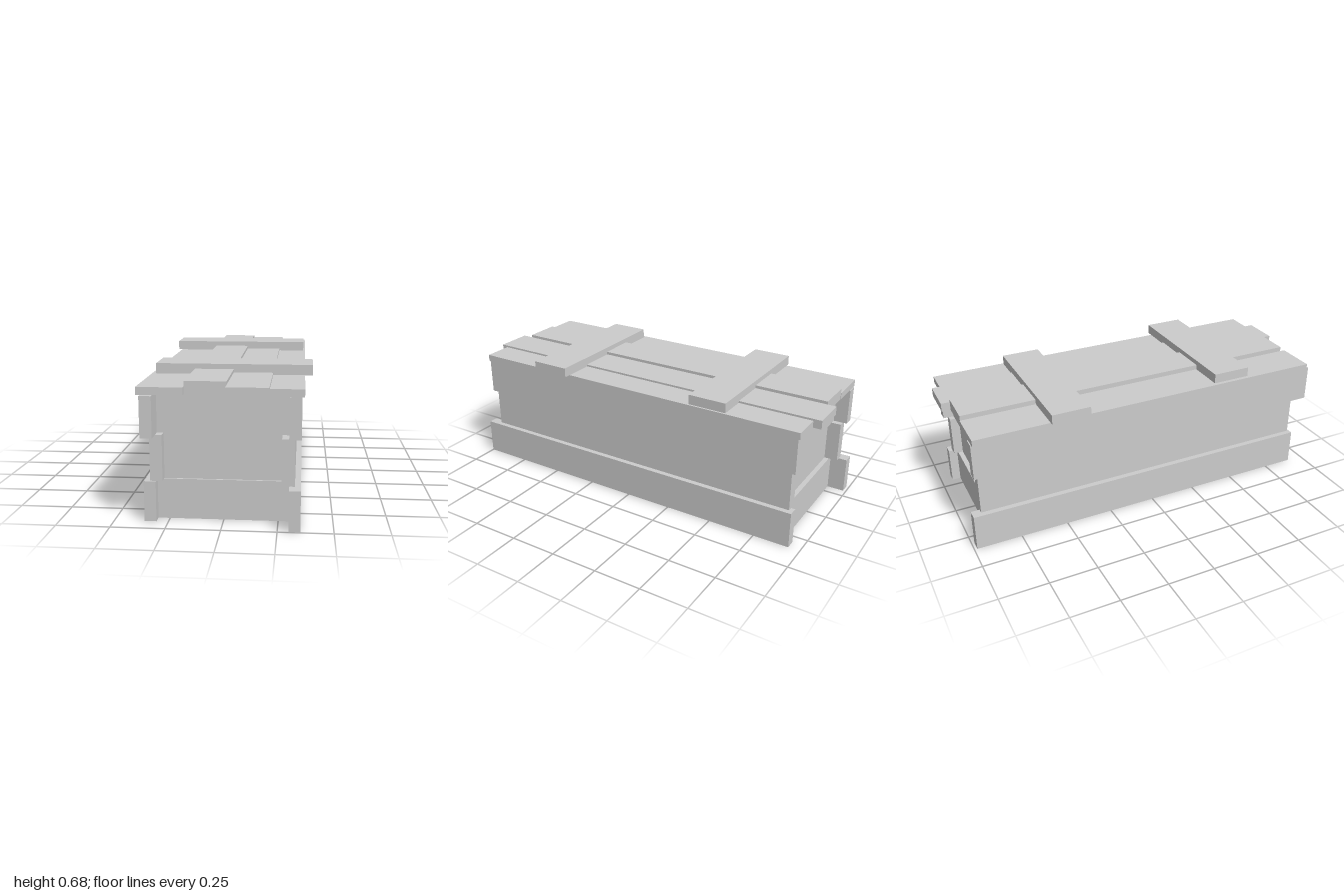
import * as THREE from 'three';

const material = new THREE.MeshStandardMaterial({ color: 0xcccccc, flatShading: true });

export function createModel() {
  const crate = new THREE.Group();
  crate.name = 'woodenCrate';

  // A plank given by its extents along each axis
  const plank = (name, [x0, x1], [y0, y1], [z0, z1]) => {
    const mesh = new THREE.Mesh(new THREE.BoxGeometry(x1 - x0, y1 - y0, z1 - z0), material);
    mesh.position.set((x0 + x1) / 2, (y0 + y1) / 2, (z0 + z1) / 2);
    mesh.name = name;
    crate.add(mesh);
  };

  // Three courses of boards: long sides overhang the recessed end panels
  const courses = [
    { name: 'lower', y: [0, 0.19], right: [-0.36, -0.305], left: [0.3, 0.352],
      rightZ: [-0.985, 0.91], leftZ: [-0.94, 1.0], back: -0.895, front: 0.86 },
    { name: 'middle', y: [0.19, 0.405], right: [-0.332, -0.275], left: [0.266, 0.325],
      rightZ: [-0.94, 0.9], leftZ: [-0.918, 0.935], back: -0.87, front: 0.85 },
    { name: 'upper', y: [0.405, 0.595], right: [-0.36, -0.305], left: [0.297, 0.352],
      rightZ: [-0.962, 0.972], leftZ: [-0.945, 0.945], back: -0.89, front: 0.857 },
  ];
  for (const c of courses) {
    const inner = [c.right[1], c.left[0]];
    plank(c.name + 'RightBoard', c.right, c.y, c.rightZ);
    plank(c.name + 'LeftBoard', c.left, c.y, c.leftZ);
    plank(c.name + 'FrontPanel', inner, c.y, [c.front - 0.05, c.front]);
    plank(c.name + 'BackPanel', inner, c.y, [c.back, c.back + 0.05]);
  }

  // Floor
  plank('floor', [-0.305, 0.3], [0, 0.05], [-0.845, 0.81]);

  // Lid planks of uneven height and length
  plank('lidPlankRight', [-0.38, -0.17], [0.595, 0.63], [-0.957, 0.943]);
  plank('lidPlankMidRight', [-0.17, 0.02], [0.595, 0.655], [-0.955, 0.915]);
  plank('lidPlankMidLeft', [0.02, 0.21], [0.595, 0.64], [-1.0, 0.975]);
  plank('lidPlankLeft', [0.21, 0.363], [0.595, 0.63], [-0.957, 0.943]);

  // Cross battens over the lid
  plank('frontBatten', [-0.36, 0.4], [0.63, 0.68], [0.358, 0.562]);
  plank('backBatten', [-0.4, 0.353], [0.63, 0.68], [-0.57, -0.368]);

  return crate;
}
